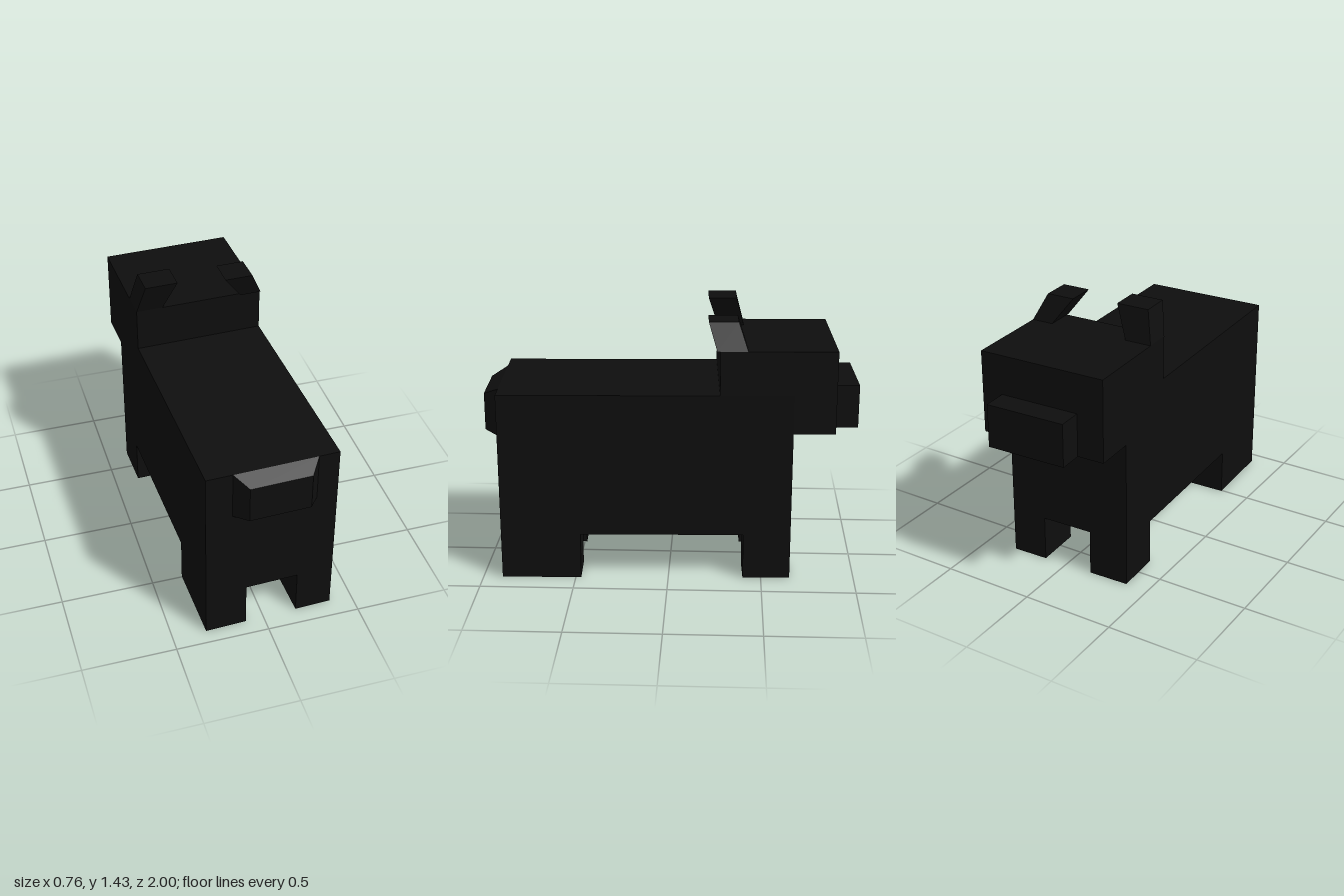
import * as THREE from 'three';

const material = new THREE.MeshStandardMaterial({ color: 0x0e0e0e });

function addBox(parent, name, [x0, x1], [y0, y1], [z0, z1]) {
  const mesh = new THREE.Mesh(new THREE.BoxGeometry(x1 - x0, y1 - y0, z1 - z0), material);
  mesh.position.set((x0 + x1) / 2, (y0 + y1) / 2, (z0 + z1) / 2);
  mesh.name = name;
  parent.add(mesh);
}

// A box whose corners run from a start block to an end block along one axis.
// Each range is given as [low, high] at the start and at the end.
function addTaper(parent, name, axis, span, start, end) {
  const geometry = new THREE.BoxGeometry(1, 1, 1);
  const p = geometry.attributes.position;
  const others = [0, 1, 2].filter((i) => i !== axis);
  for (let i = 0; i < p.count; i++) {
    const side = [p.getX(i), p.getY(i), p.getZ(i)].map((v) => (v > 0 ? 1 : 0));
    const ranges = side[axis] ? end : start;
    const v = [0, 0, 0];
    v[axis] = span[side[axis]];
    others.forEach((a, k) => { v[a] = ranges[k][side[a]]; });
    p.setXYZ(i, ...v);
  }
  geometry.computeVertexNormals();
  const mesh = new THREE.Mesh(geometry, material);
  mesh.name = name;
  parent.add(mesh);
}

export function createModel() {
  const model = new THREE.Group();
  model.name = 'animal';
  const animal = new THREE.Group();
  animal.name = 'turnedBody';
  animal.rotation.y = 0.035; // stands slightly askew
  model.add(animal);

  const width = [-0.351, 0.345];

  // Trunk, head and muzzle; the head points to -z
  addBox(animal, 'body', width, [0.25, 1.03], [-0.643, 0.909]);
  addBox(animal, 'head', width, [0.82, 1.265], [-0.863, -0.257]);
  addBox(animal, 'muzzle', [-0.205, 0.23], [0.82, 1.053], [-0.993, -0.863]);

  // Legs: long hind feet, short front feet
  const sides = { right: [width[0], -0.131], left: [0.15, width[1]] };
  const ends = { front: [-0.643, -0.39], hind: [0.483, 0.909] };
  for (const [side, x] of Object.entries(sides)) {
    for (const [end, z] of Object.entries(ends)) {
      addBox(animal, `${end}Leg_${side}`, x, [0, 0.25], z);
    }
  }

  // Stubby tail, narrowing outwards
  addTaper(animal, 'tail', 2, [0.909, 0.991],
    [[-0.212, 0.234], [0.765, 1.03]], [[-0.152, 0.172], [0.787, 0.988]]);

  // Ears leaning inwards and back over the neck
  addTaper(animal, 'ear_right', 1, [1.265, 1.435],
    [[-0.351, -0.207], [-0.4, -0.257]], [[-0.312, -0.136], [-0.357, -0.205]]);
  addTaper(animal, 'ear_left', 1, [1.265, 1.405],
    [[0.228, 0.345], [-0.4, -0.24]], [[0.128, 0.28], [-0.352, -0.197]]);

  return model;
}
